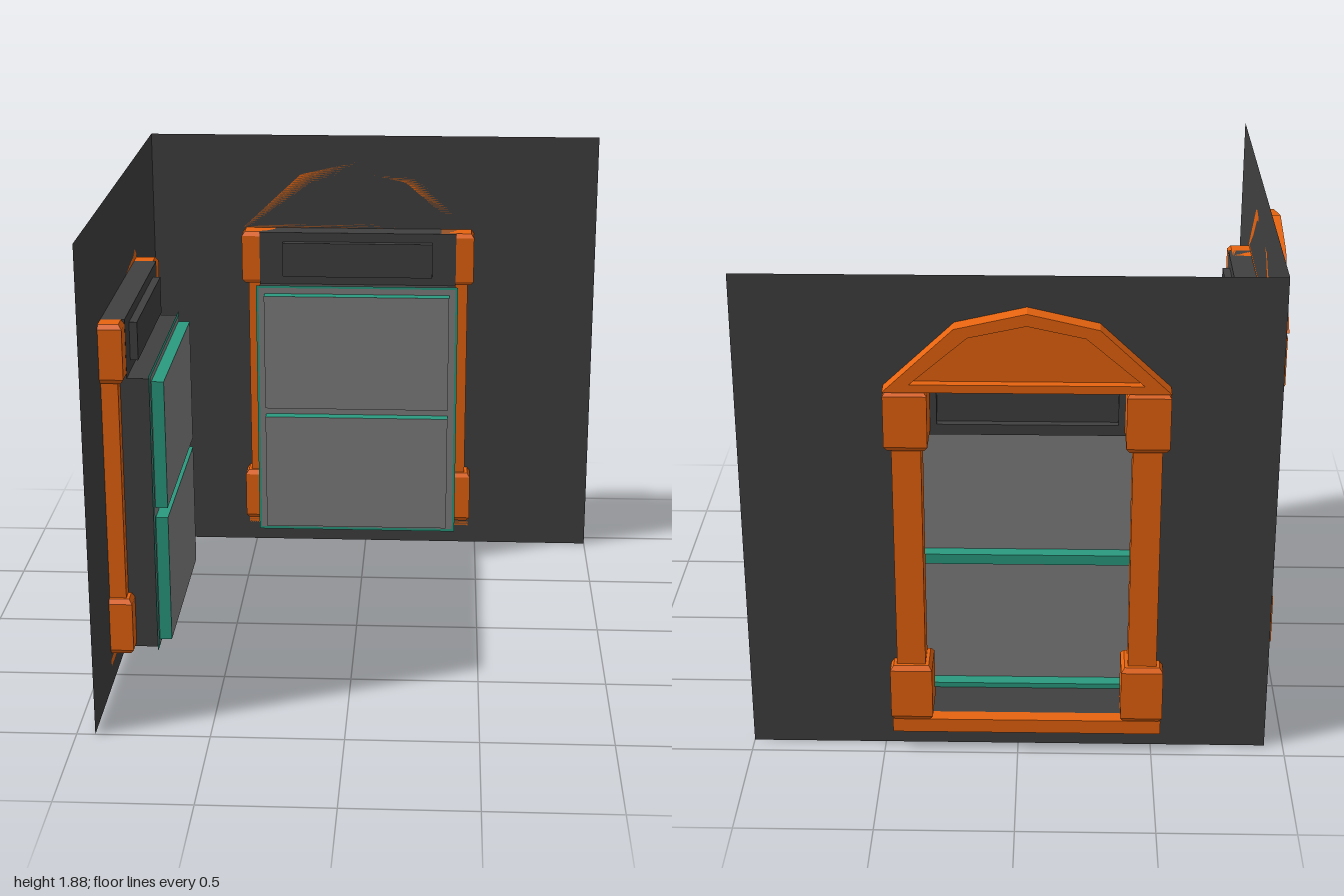
import * as THREE from 'three';

const mat = (color) =>
  new THREE.MeshStandardMaterial({ color, side: THREE.DoubleSide, flatShading: true });

const HALF = 0.427;                 // half width of the wall opening
const SILL = 0.135, SOFFIT = 1.24, HEAD = 1.47;

// Closed rectangle outline, usable as a shape or a hole
function rect(x0, x1, y0, y1, Type = THREE.Shape) {
  return new Type([[x0, y0], [x1, y0], [x1, y1], [x0, y1]].map(p => new THREE.Vector2(...p)));
}

// Flat sheet with rectangular holes, at depth z
function sheet(outline, holes, z) {
  outline.holes = holes;
  return new THREE.ShapeGeometry(outline).translate(0, 0, z);
}

// Four-sided open reveal running from z0 to z1
function reveal(half, y0, y1, z0, z1) {
  const g = new THREE.BoxGeometry(2 * half, y1 - y0, z1 - z0);
  g.setIndex(Array.from(g.index.array.slice(0, 24)));   // drop front and back
  return g.translate(0, (y0 + y1) / 2, (z0 + z1) / 2);
}

// Square post section with chamfered ends
function block(half, y0, y1, chamfer) {
  const r = half * Math.SQRT2, c = chamfer;
  const pts = [[0, y0], [r - c, y0], [r, y0 + c], [r, y1 - c], [r - c, y1], [0, y1]];
  return new THREE.LatheGeometry(pts.map(p => new THREE.Vector2(...p)), 4, Math.PI / 4);
}

// Segmental arch outline in four straight segments
function arch(half, base, rise, Type = THREE.Shape) {
  const R = (half * half + rise * rise) / (2 * rise);
  const pts = [];
  for (let i = 0; i <= 4; i++) {
    const x = half * (1 - i / 2);
    pts.push(new THREE.Vector2(x, base + rise - R + Math.sqrt(R * R - x * x)));
  }
  return new Type(pts);
}

// One wall with its window; local -z is outdoors, x = 0 is the window centre
function wallWithWindow(x0, x1) {
  const group = new THREE.Group();
  const stone = mat(0x404040), trim = mat(0xe8640f), paint = mat(0x2a9a80), glass = mat(0x808080);
  const add = (name, geometry, material, x = 0, z = 0) => {
    const m = new THREE.Mesh(geometry, material);
    m.name = name;
    m.position.set(x, 0, z);
    group.add(m);
  };

  add('wall', sheet(rect(x0, x1, 0, 1.88), [rect(-HALF, HALF, SILL, HEAD, THREE.Path)], 0), stone);

  // Stepped reveal and header with a sunk panel
  add('outerReveal', reveal(HALF, SILL, HEAD, 0, 0.09), stone);
  add('innerReveal', reveal(HALF, SILL, SOFFIT, 0.09, 0.175), stone);
  add('header', sheet(rect(-HALF, HALF, SOFFIT, HEAD),
    [rect(-0.325, 0.325, 1.28, 1.43, THREE.Path)], 0.09), stone);
  add('headerPanelEdge', reveal(0.325, 1.28, 1.43, 0.09, 0.12), stone);
  add('headerPanel', sheet(rect(-0.325, 0.325, 1.28, 1.43), [], 0.12), stone);

  // Sash frame, its indoor backing, and two set-back panes
  const panes = [[0.155, 0.67], [0.71, 1.22]];
  const paneHoles = () => panes.map(([a, b]) => rect(-0.4, 0.4, a, b, THREE.Path));
  add('sashFrame', sheet(rect(-0.438, 0.438, 0.12, 1.255), paneHoles(), 0.175), paint);
  add('sashBacking', sheet(rect(-0.427, 0.427, 0.133, 1.245), paneHoles(), 0.178), glass);
  for (const [a, b] of panes) {
    add('sashEdge', reveal(0.4, a, b, 0.175, 0.225), paint);
    add('windowPane', sheet(rect(-0.4, 0.4, a, b), [], 0.225), glass);
  }

  // Pilasters, centred on the edges of the opening
  for (const side of [-1, 1]) {
    add('pilasterBase', block(0.0775, SILL, 0.365, 0.018), trim, side * HALF, 0.012);
    add('pilasterShaft', block(0.0525, 0.35, 1.26, 0), trim, side * HALF, 0.012);
    add('pilasterCapital', block(0.0775, 1.24, HEAD, 0.018), trim, side * HALF, 0.012);
  }

  // Sill
  add('sill', new THREE.BoxGeometry(1.0, 0.055, 0.055).translate(0, 0.1075, -0.0275), trim);

  // Arched pediment: raised border around a recessed face
  const border = arch(0.505, HEAD, 0.295);
  border.holes = [arch(0.41, HEAD + 0.03, 0.22, THREE.Path)];
  add('pedimentBorder',
    new THREE.ExtrudeGeometry(border, { depth: 0.07, bevelEnabled: false }).translate(0, 0, -0.07), trim);
  add('pedimentFace', new THREE.ShapeGeometry(arch(0.43, HEAD + 0.02, 0.24)).translate(0, 0, -0.035), trim);
  return group;
}

export function createModel() {
  const model = new THREE.Group();
  model.name = 'cornerWalls';

  const back = wallWithWindow(-0.897, 1.033);
  back.name = 'backWall';
  back.position.set(-0.033, 0, -0.93);

  const side = wallWithWindow(-0.907, 1.023);
  side.name = 'rightWall';
  side.rotation.y = Math.PI / 2;
  side.position.set(-0.93, 0, 0.093);

  model.add(back, side);
  return model;
}
